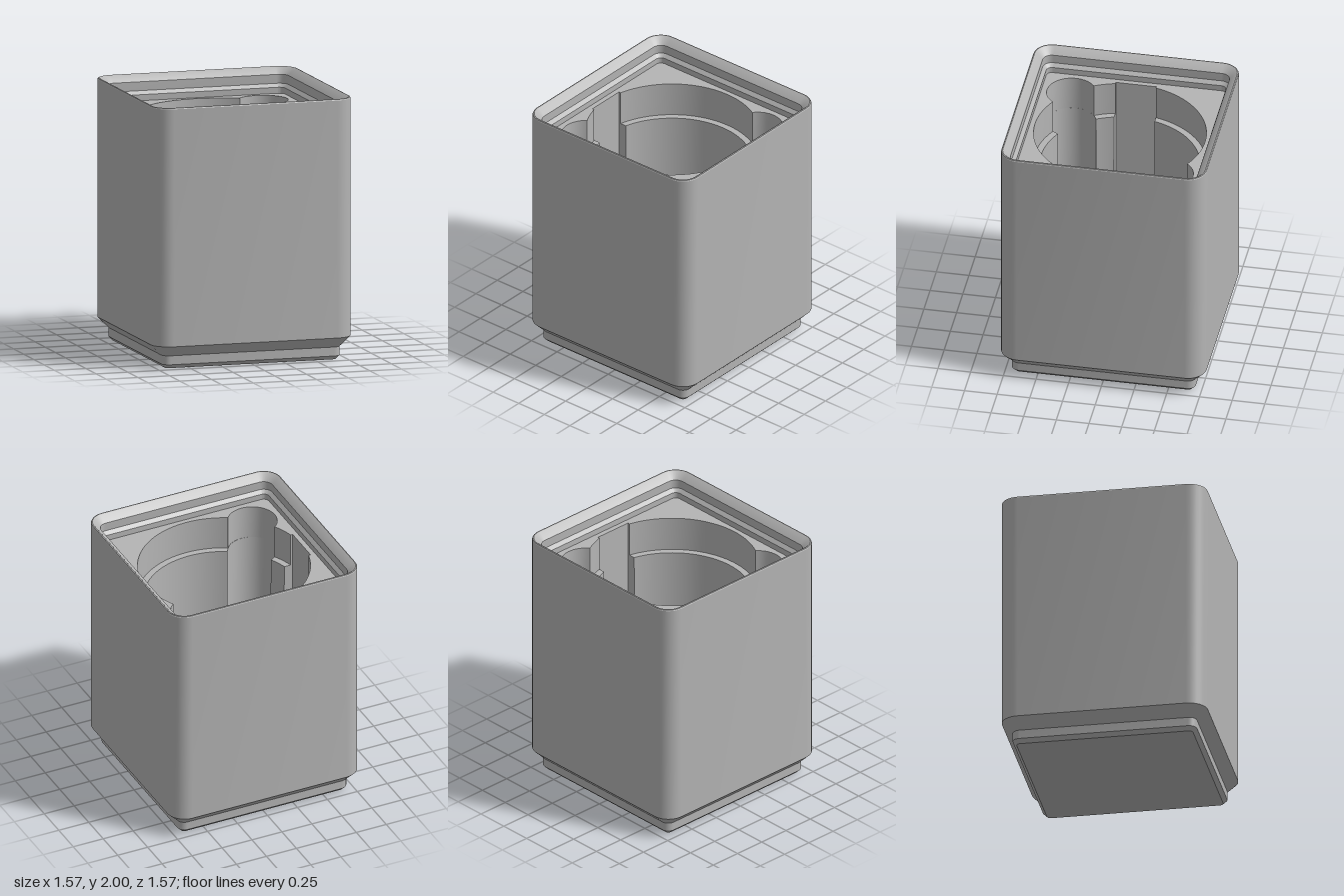
import * as THREE from 'three';
import { toCreasedNormals } from 'three/addons/utils/BufferGeometryUtils.js';

const FLOOR = 1.806, LEDGE = 1.535, BOTTOM = 0.27;
const CORNER = 0.643; // centre of every rounded corner

// Points of an arc, both ends included
function arc(cx, cy, r, from, to, n) {
  return Array.from({ length: n + 1 }, (_, i) => {
    const a = from + ((to - from) * i) / n;
    return new THREE.Vector2(cx + r * Math.cos(a), cy + r * Math.sin(a));
  });
}

// Rounded square, counter-clockwise; corners share their centres
function square(half) {
  const points = [];
  [[1, 1], [-1, 1], [-1, -1], [1, -1]].forEach(([sx, sy], k) => {
    points.push(...arc(sx * CORNER, sy * CORNER, half - CORNER, (k * Math.PI) / 2, ((k + 1) * Math.PI) / 2, 8));
  });
  return points;
}

// Round pocket with two side notches and two diagonal finger scoops
function pocket(r) {
  const notchX = 0.648, notchZ = 0.155, c = 0.457, scoopR = 0.188;
  const d = c * Math.SQRT2, q = Math.PI / 4;
  const a = Math.asin(notchZ / r);
  const t = Math.acos((r * r + d * d - scoopR * scoopR) / (2 * r * d));
  const phi = Math.atan2(r * Math.sin(t), r * Math.cos(t) - d);
  const half = [
    new THREE.Vector2(notchX, -notchZ),
    new THREE.Vector2(notchX, notchZ),
    ...arc(0, 0, r, a, q - t, 6),
    ...arc(c, c, scoopR, q - phi, q + phi, 24).slice(1, -1),
    ...arc(0, 0, r, q + t, Math.PI - a, 32),
  ];
  return [...half, ...half.map((p) => p.clone().negate())];
}

// Skin through closed outlines given as [outline, height]
function loft(rings) {
  const n = rings[0][0].length, pos = [], index = [];
  for (const [points, y] of rings) for (const p of points) pos.push(p.x, y, -p.y);
  for (let k = 0; k < rings.length - 1; k++) {
    for (let i = 0; i < n; i++) {
      const a = k * n + i, b = k * n + ((i + 1) % n);
      index.push(a, b, b + n, a, b + n, a + n);
    }
  }
  const g = new THREE.BufferGeometry();
  g.setAttribute('position', new THREE.Float32BufferAttribute(pos, 3));
  g.setIndex(index);
  return toCreasedNormals(g, 0.4);
}

// Flat face at a height, optionally with a hole, facing up or down
function plate(outline, hole, y, down = false) {
  const shape = new THREE.Shape(outline);
  if (hole) shape.holes.push(new THREE.Path(hole));
  return new THREE.ShapeGeometry(shape).rotateX(down ? Math.PI / 2 : -Math.PI / 2).translate(0, y, 0);
}

export function createModel() {
  const group = new THREE.Group();
  const grey = new THREE.MeshStandardMaterial({ color: 0xb4b4b4 });
  grey.name = 'grey plastic';
  const add = (name, geometry) => {
    const mesh = new THREE.Mesh(geometry, grey);
    mesh.name = name;
    group.add(mesh);
  };
  const skin = (profile) => loft(profile.map(([half, y]) => [square(half), y]));

  // Stepped foot, straight walls and stacking lip
  add('foot', skin([[0.673, 0], [0.703, 0.03], [0.703, 0.098], [0.785, 0.18]]));
  add('outerWall', skin([[0.785, 0.18], [0.785, 1.99]]));
  add('stackingLip', skin([
    [0.785, 1.99], [0.781, 1.998], [0.773, 2], [0.764, 1.996],
    [0.714, 1.946], [0.714, 1.878], [0.687, 1.852], [0.687, FLOOR],
  ]));
  add('underside', plate(square(0.673), null, 0, true));

  // Recess: wide mouth, ledge, then a slightly tapered well
  const mouth = pocket(0.65), wellTop = pocket(0.6), wellBottom = pocket(0.587);
  add('topDeck', plate(square(0.687), mouth, FLOOR));
  add('mouthWall', loft([[mouth, FLOOR], [mouth, LEDGE]]));
  // The ledge runs only between the notches and scoops, so each strip is built from matching points
  add('ledge', loft([[mouth, LEDGE], [wellTop, LEDGE]]));
  add('wellWall', loft([[wellTop, LEDGE], [wellBottom, BOTTOM]]));
  add('wellFloor', plate(wellBottom, null, BOTTOM));
  return group;
}
